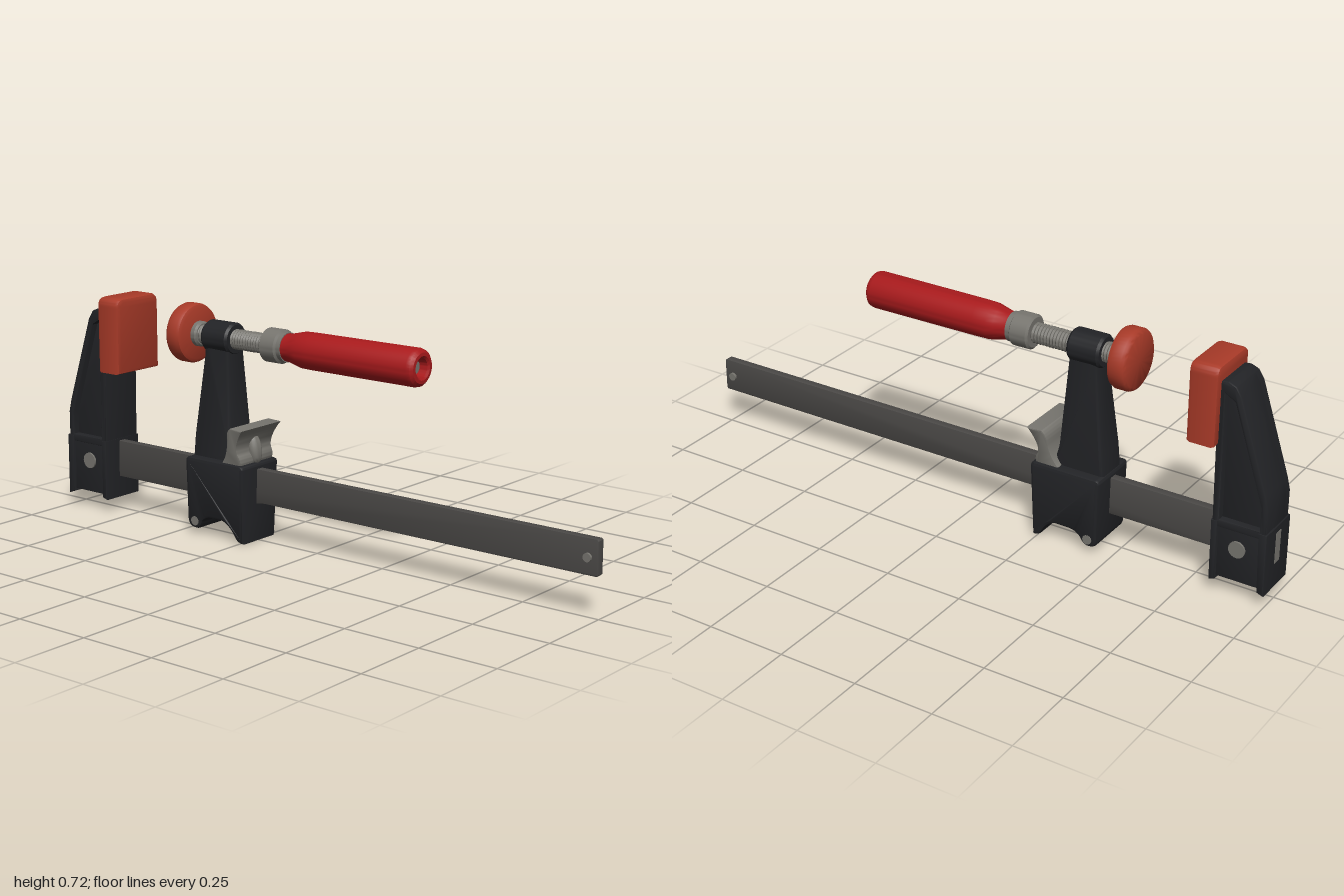
import * as THREE from 'three';
import { toCreasedNormals } from 'three/addons/utils/BufferGeometryUtils.js';

const mat = (color) => new THREE.MeshStandardMaterial({ color });
const BLACK = mat(0x222326), RED = mat(0xa81a1c), PAD = mat(0xa83a28);
const STEEL = mat(0x4a4846), ZINC = mat(0x77756f);
const SCREW_Y = 0.63;

const toShape = (pts) => new THREE.Shape(pts.map(([x, y]) => new THREE.Vector2(x, y)));

// Side profile extruded across z, centred, with total half width w
function slab(shape, w, bevel = 0.006) {
  const g = new THREE.ExtrudeGeometry(shape, {
    depth: 2 * (w - bevel), bevelEnabled: bevel > 0, bevelSize: bevel, bevelThickness: bevel,
    bevelOffset: -bevel, bevelSegments: 2, curveSegments: 10,
  });
  return g.translate(0, 0, -(w - bevel));
}

// Turned part along x: [x, radius] pairs, from left to right
function turned(profile, segments = 40) {
  const g = new THREE.LatheGeometry(profile.map(([x, r]) => new THREE.Vector2(r, x)), segments);
  return g.rotateZ(-Math.PI / 2).translate(0, SCREW_Y, 0);
}

// Scale z by a factor that depends on height
function taperZ(g, factor) {
  const p = g.attributes.position;
  for (let i = 0; i < p.count; i++) p.setZ(i, p.getZ(i) * factor(p.getY(i)));
  g.computeVertexNormals();
  return g;
}

export function createModel() {
  const model = new THREE.Group();
  const add = (name, geometry, material, parent = model) => {
    const m = new THREE.Mesh(toCreasedNormals(geometry, 0.6), material);
    m.name = name;
    parent.add(m);
    return m;
  };
  const group = (name) => {
    const g = new THREE.Group();
    g.name = name;
    model.add(g);
    return g;
  };
  const stud = (name, x, y, r, w, material, parent) =>
    add(name, new THREE.CylinderGeometry(r, r, 2 * w, 20).rotateX(Math.PI / 2).translate(x, y, 0), material, parent);

  // Flat bar with stop pin at its free end
  add('bar', slab(toShape([[-0.97, 0.112], [-0.3, 0.112], [-0.2, 0.125], [0.995, 0.125], [1, 0.13],
    [1, 0.228], [0.995, 0.233], [-0.97, 0.233]]), 0.014, 0.003), STEEL);
  stud('barStopPin', 0.968, 0.178, 0.013, 0.022, ZINC, model);

  // Fixed jaw: flanged outline around a thinner web, on a ribbed foot
  const fixedJaw = group('fixedJaw');
  const outer = [[-0.995, 0.22], [-0.826, 0.22], [-0.82, 0.675], [-0.85, 0.678], [-0.875, 0.668],
    [-0.893, 0.64], [-0.985, 0.36], [-0.995, 0.32]];
  const flange = toShape(outer);
  flange.holes.push(new THREE.Path([[-0.973, 0.245], [-0.973, 0.32], [-0.875, 0.622], [-0.845, 0.64], [-0.848, 0.245]]
    .map(([x, y]) => new THREE.Vector2(x, y))));
  add('fixedJawFlange', slab(flange, 0.073), BLACK, fixedJaw);
  add('fixedJawWeb', slab(toShape(outer), 0.05), BLACK, fixedJaw);
  add('fixedJawFoot', slab(toShape([[-0.99, 0.055], [-0.835, 0.055], [-0.835, 0.24], [-0.99, 0.24]]), 0.066), BLACK, fixedJaw);
  add('fixedJawBackRib', slab(toShape([[-1, 0.04], [-0.978, 0.048], [-0.972, 0.24], [-1, 0.24]]), 0.076, 0.004), BLACK, fixedJaw);
  add('fixedJawFrontRib', slab(toShape([[-0.845, 0.048], [-0.826, 0.042], [-0.824, 0.24], [-0.845, 0.24]]), 0.076, 0.004), BLACK, fixedJaw);
  stud('fixedJawRivet', -0.907, 0.163, 0.026, 0.072, ZINC, fixedJaw);
  add('barBackEnd', new THREE.BoxGeometry(0.01, 0.1, 0.03).translate(-0.9965, 0.17, 0), ZINC, fixedJaw);

  // Fixed jaw pad, rounded at the top corners
  const padShape = new THREE.Shape();
  padShape.moveTo(-0.094, 0.475).lineTo(0.094, 0.475).lineTo(0.094, 0.69)
    .quadraticCurveTo(0.094, 0.72, 0.064, 0.72).lineTo(-0.064, 0.72).quadraticCurveTo(-0.094, 0.72, -0.094, 0.69);
  add('fixedJawPad', slab(padShape, 0.046, 0.012).rotateY(Math.PI / 2).translate(-0.785, 0, 0), PAD);

  // Sliding jaw: collar around the bar, with an arched underside
  const slidingJaw = group('slidingJaw');
  const collar = new THREE.Shape();
  collar.moveTo(-0.46, 0.045).quadraticCurveTo(-0.455, 0.02, -0.43, 0.02)
    .quadraticCurveTo(-0.41, 0.02, -0.4, 0.045).quadraticCurveTo(-0.385, 0.064, -0.36, 0.064)
    .lineTo(-0.32, 0.064).quadraticCurveTo(-0.29, 0.062, -0.265, 0.015).quadraticCurveTo(-0.255, 0, -0.235, 0)
    .lineTo(-0.228, 0.24).quadraticCurveTo(-0.229, 0.252, -0.245, 0.252)
    .lineTo(-0.45, 0.252).quadraticCurveTo(-0.464, 0.252, -0.463, 0.235);
  add('collar', taperZ(slab(collar, 0.088, 0.01), (y) => 0.9 + 0.1 * Math.min(1, y / 0.08)), BLACK, slidingJaw);
  stud('collarPin', -0.428, 0.046, 0.015, 0.086, ZINC, slidingJaw);

  // Tapering arm that carries the screw
  const arm = new THREE.Shape();
  arm.moveTo(-0.46, 0.23).lineTo(-0.275, 0.23).quadraticCurveTo(-0.3, 0.28, -0.306, 0.32)
    .lineTo(-0.324, 0.6).lineTo(-0.324, 0.65).lineTo(-0.42, 0.65).lineTo(-0.42, 0.58).lineTo(-0.452, 0.32);
  add('arm', taperZ(slab(arm, 0.05, 0.01), (y) => 1.1 - 0.35 * THREE.MathUtils.clamp((y - 0.3) / 0.27, 0, 1)), BLACK, slidingJaw);
  add('screwNut', turned([[-0.428, 0], [-0.428, 0.045], [-0.42, 0.051], [-0.328, 0.051], [-0.32, 0.045], [-0.32, 0]]), BLACK, slidingJaw);

  // Release lever: leaning plate that flares toward its tip, with a central rib
  const lever = group('releaseLever');
  const plate = new THREE.Shape();
  plate.moveTo(-0.325, 0.245).lineTo(-0.245, 0.245).quadraticCurveTo(-0.235, 0.265, -0.25, 0.285)
    .quadraticCurveTo(-0.262, 0.315, -0.22, 0.368).lineTo(-0.27, 0.37)
    .quadraticCurveTo(-0.288, 0.36, -0.288, 0.325).quadraticCurveTo(-0.295, 0.275, -0.325, 0.245);
  add('leverPlate', taperZ(slab(plate, 0.08, 0.004), (y) => 0.94 + 0.25 * THREE.MathUtils.clamp((y - 0.245) / 0.125, 0, 1)), ZINC, lever);
  add('leverRib', new THREE.SphereGeometry(1, 20, 14).scale(0.022, 0.05, 0.024).rotateZ(0.2).translate(-0.25, 0.295, 0), ZINC, lever);

  // Threaded screw: a run of shallow ridges
  const thread = [[-0.49, 0]];
  for (let i = 0; i <= 60; i++) thread.push([-0.49 + i * 0.0053, i % 2 ? 0.028 : 0.032]);
  thread.push([-0.17, 0]);
  add('screw', turned(thread, 28), ZINC);

  // Round swivel pad on the screw tip
  add('swivelPad', turned([[-0.537, 0], [-0.537, 0.082], [-0.532, 0.09], [-0.524, 0.094], [-0.49, 0.094],
    [-0.481, 0.09], [-0.476, 0.08], [-0.476, 0]], 48), PAD);
  add('swivelCollar', turned([[-0.48, 0.04], [-0.462, 0.04], [-0.456, 0.034], [-0.456, 0]]), ZINC);

  // Handle with its ferrule and hollow end
  add('ferrule', turned([[-0.19, 0], [-0.19, 0.046], [-0.184, 0.053], [-0.13, 0.053], [-0.125, 0.046], [-0.11, 0.046], [-0.11, 0]]), ZINC);
  add('handle', turned([[-0.113, 0], [-0.113, 0.043], [-0.095, 0.044], [-0.07, 0.05], [-0.045, 0.056], [0, 0.057],
    [0.37, 0.058], [0.382, 0.055], [0.39, 0.046], [0.391, 0.036], [0.386, 0.029], [0.35, 0.027], [0.35, 0]]), RED);
  add('handleCore', turned([[0.34, 0], [0.34, 0.02], [0.365, 0.02], [0.365, 0]]), ZINC);

  return model;
}
